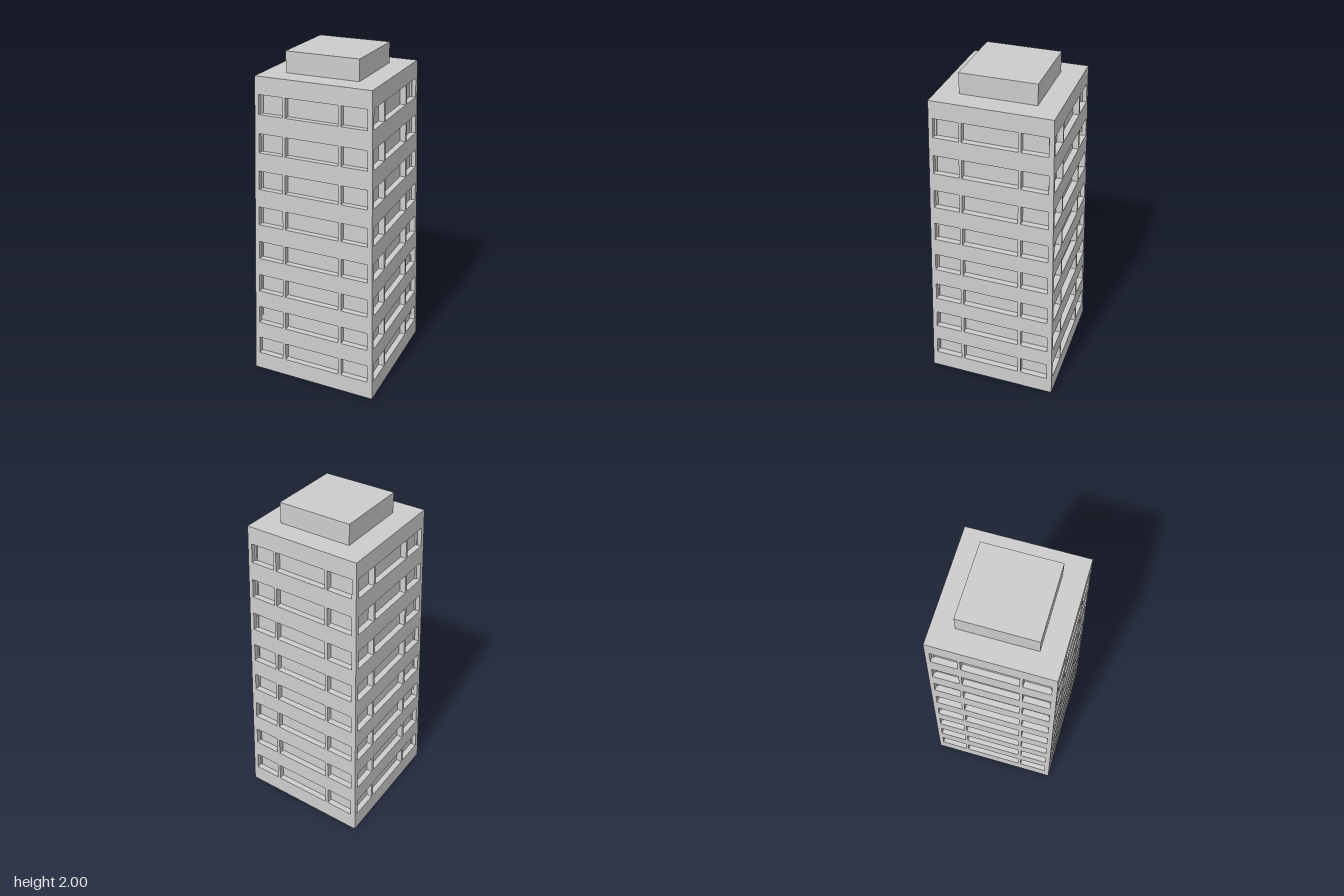
import * as THREE from 'three';

const BASE_HALF = 0.398, ROOF_HALF = 0.342, ROOF_Y = 1.88;
const FLOORS = 8, FIRST_SILL = 0.112, FLOOR_STEP = 0.222, WINDOW_H = 0.113, RECESS = 0.035;

// Half-width of the tapering tower at a given height
const halfAt = (y) => THREE.MathUtils.lerp(BASE_HALF, ROOF_HALF, y / ROOF_Y);

// One wall facing +z: a grid of cells, where the window cells are sunk inwards
function wallGeometry() {
  const us = [-1, -0.93, -0.508, -0.463, 0.44, 0.488, 0.922, 1];
  const ys = [0];
  for (let i = 0; i < FLOORS; i++) {
    const sill = FIRST_SILL + i * FLOOR_STEP;
    ys.push(sill, sill + WINDOW_H);
  }
  ys.push(ROOF_Y);

  const positions = [];
  const quad = (a, b, c, d) => {
    for (const p of [a, b, c, a, c, d]) positions.push(...p);
  };
  const point = (u, y, depth) => [u * halfAt(y), y, halfAt(y) - depth];

  for (let j = 0; j < ys.length - 1; j++) {
    for (let i = 0; i < us.length - 1; i++) {
      const corners = [[us[i], ys[j]], [us[i + 1], ys[j]], [us[i + 1], ys[j + 1]], [us[i], ys[j + 1]]];
      const outer = corners.map(([u, y]) => point(u, y, 0));
      if (i % 2 === 0 || j % 2 === 0) {
        quad(...outer);
        continue;
      }
      // Sunken pane with sill, jambs and head
      const inner = corners.map(([u, y]) => point(u, y, RECESS));
      quad(...inner);
      for (let k = 0; k < 4; k++) {
        const n = (k + 1) % 4;
        quad(outer[k], outer[n], inner[n], inner[k]);
      }
    }
  }
  const geometry = new THREE.BufferGeometry();
  geometry.setAttribute('position', new THREE.Float32BufferAttribute(positions, 3));
  geometry.computeVertexNormals();
  return geometry;
}

export function createModel() {
  const group = new THREE.Group();
  group.name = 'towerBlock';
  const concrete = new THREE.MeshStandardMaterial({ color: 0xcccccc, side: THREE.DoubleSide });
  concrete.name = 'concrete';

  // Four identical walls around an open-bottomed shell
  const wall = wallGeometry();
  ['frontWall', 'leftWall', 'backWall', 'rightWall'].forEach((name, i) => {
    const mesh = new THREE.Mesh(wall, concrete);
    mesh.name = name;
    mesh.rotation.y = i * Math.PI / 2;
    group.add(mesh);
  });

  // Flat roof
  const roof = new THREE.Mesh(new THREE.PlaneGeometry(2 * ROOF_HALF, 2 * ROOF_HALF), concrete);
  roof.name = 'roof';
  roof.rotation.x = -Math.PI / 2;
  roof.position.y = ROOF_Y;
  group.add(roof);

  // Plant room on the roof
  const height = 2 - ROOF_Y;
  const plantRoom = new THREE.Mesh(new THREE.BoxGeometry(0.434, height, 0.434), concrete);
  plantRoom.name = 'roofPlantRoom';
  plantRoom.position.y = ROOF_Y + height / 2;
  group.add(plantRoom);

  return group;
}
